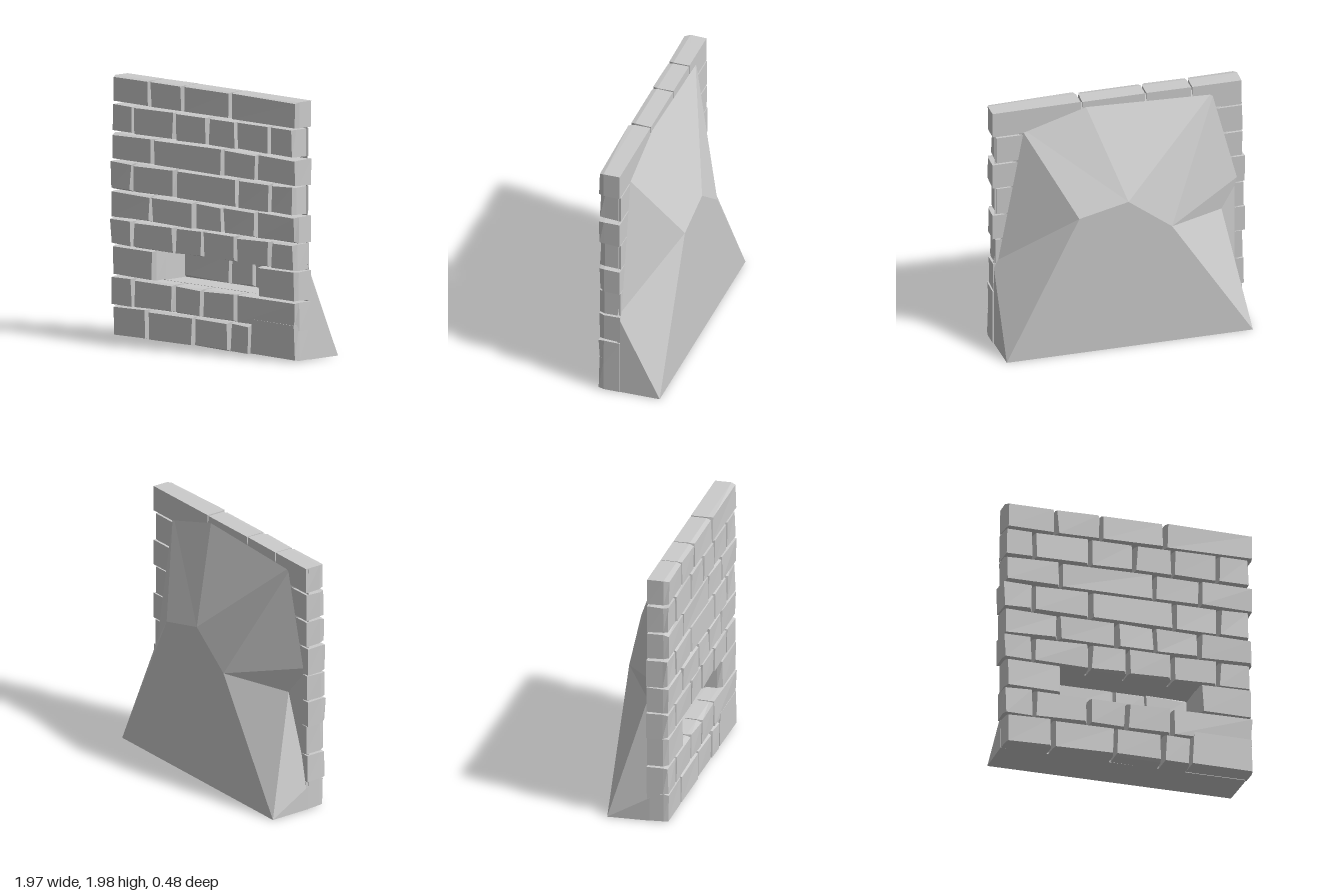
import * as THREE from 'three';

const stone = new THREE.MeshStandardMaterial({ color: 0xcccccc, flatShading: true, side: THREE.DoubleSide });

// repeatable noise in -1..1
function noise(n) {
  const s = Math.sin(n * 127.1 + 11.7) * 43758.5453;
  return (s - Math.floor(s)) * 2 - 1;
}

// faceted mesh from corner points and polygons (each polygon is fanned)
function facets(name, points, polygons) {
  const pos = [];
  for (const poly of polygons) {
    for (let i = 1; i < poly.length - 1; i++) {
      for (const k of [poly[0], poly[i], poly[i + 1]]) pos.push(...points[k]);
    }
  }
  const geo = new THREE.BufferGeometry();
  geo.setAttribute('position', new THREE.Float32BufferAttribute(pos, 3));
  geo.computeVertexNormals();
  const mesh = new THREE.Mesh(geo, stone);
  mesh.name = name;
  return mesh;
}

// rough-hewn brick: a box whose front corners are drawn in and nudged
function brick(name, id, x0, x1, y0, y1, zBack, zFront) {
  const w = x1 - x0, h = y1 - y0;
  const geo = new THREE.BoxGeometry(w, h, zFront - zBack, 1, 1, 2).toNonIndexed();
  const p = geo.attributes.position;
  const depth = zFront - zBack;
  for (let i = 0; i < p.count; i++) {
    const sx = Math.sign(p.getX(i)), sy = Math.sign(p.getY(i));
    const t = p.getZ(i) / depth + 0.5;           // 0 back, 0.5 shoulder, 1 front
    const layer = t < 0.25 ? 0 : t < 0.75 ? 1 : 2;
    const seed = id * 31 + (sx + 1) * 2 + (sy + 1) * 4 + layer * 17;
    const inset = [0, 0.002, 0.014][layer];
    const wobble = [0.002, 0.005, 0.009][layer];
    const z = layer === 1 ? zBack + depth * 0.75 : layer === 2 ? zFront - 0.004 + noise(seed + 3) * 0.005 : zBack;
    p.setXYZ(i,
      (x0 + x1) / 2 + sx * (w / 2 - inset) + noise(seed + 1) * wobble,
      (y0 + y1) / 2 + sy * (h / 2 - inset * 0.6) + noise(seed + 2) * wobble * 0.8,
      z);
  }
  geo.computeVertexNormals();
  const mesh = new THREE.Mesh(geo, stone);
  mesh.name = name;
  return mesh;
}

export function createModel() {
  const model = new THREE.Group();
  const GAP = 0.006, FACE = 0.09, FRONT = 0.24;
  const niche = { x0: -0.52, x1: 0.57, y0: 0.465, y1: 0.695, z: -0.08 };

  // courses: bottom, top, joint positions
  const courses = [
    [0.015, 0.24, [-0.965, -0.59, -0.1, 0.28, 0.5]],
    [0.245, 0.46, [-0.98, -0.74, -0.31, -0.01, 0.35]],
    [0.47, 0.695, [-0.97, -0.52, -0.02, 0.23, 0.57, 0.985]],
    [0.7, 0.9, [-0.99, -0.75, -0.3, 0, 0.35, 0.71, 0.97]],
    [0.91, 1.11, [-0.98, -0.55, -0.09, 0.21, 0.56, 0.99]],
    [1.12, 1.335, [-0.99, -0.745, -0.3, 0.36, 0.71, 0.96]],
    [1.345, 1.545, [-0.97, -0.53, 0.21, 0.57, 0.99]],
    [1.56, 1.77, [-0.97, -0.74, -0.3, 0.05, 0.35, 0.7, 0.96]],
    [1.785, 1.985, [-0.965, -0.57, -0.21, 0.29, 0.99]],
  ];
  const wall = new THREE.Group();
  wall.name = 'brickCourses';
  courses.forEach(([y0, y1, joints], row) => {
    for (let i = 0; i < joints.length - 1; i++) {
      const x0 = joints[i], x1 = joints[i + 1];
      const recessed = row === 2 && x0 >= niche.x0 && x1 <= niche.x1;
      wall.add(brick(recessed ? 'nicheBrick' : 'brick', row * 10 + i + 1,
        x0 + GAP, x1 - GAP, y0, y1,
        recessed ? niche.z - 0.1 : FACE - 0.02, recessed ? niche.z : FRONT));
    }
  });
  // large corner stone spanning the two lowest courses
  wall.add(brick('cornerStone', 97, 0.5, 0.985, 0.02, 0.3, FACE - 0.02, FRONT));
  wall.add(brick('cornerStone', 98, 0.356, 0.985, 0.245, 0.46, FACE - 0.02, FRONT));
  model.add(wall);

  // mortar sheet behind the bricks, open at the niche
  const sheet = new THREE.Shape([[-0.96, 0.015], [0.965, 0.015], [0.965, 1.975], [-0.96, 1.975]]
    .map(([x, y]) => new THREE.Vector2(x, y)));
  sheet.holes.push(new THREE.Path([[niche.x0, niche.y0], [niche.x0, niche.y1], [niche.x1, niche.y1], [niche.x1, niche.y0]]
    .map(([x, y]) => new THREE.Vector2(x, y))));
  const mortar = new THREE.Mesh(new THREE.ShapeGeometry(sheet), stone);
  mortar.position.z = FACE;
  mortar.name = 'mortar';
  model.add(mortar);

  // niche sides, floor, ceiling and back
  const corners = [];
  for (const z of [FACE + 0.02, niche.z - 0.03]) {
    corners.push([niche.x0, niche.y0, z], [niche.x1, niche.y0, z], [niche.x1, niche.y1, z], [niche.x0, niche.y1, z]);
  }
  model.add(facets('nicheLining', corners,
    [[0, 1, 5, 4], [1, 2, 6, 5], [2, 3, 7, 6], [3, 0, 4, 7], [4, 5, 6, 7]]));

  // sloping rock mass behind the wall
  const B = -0.24;
  const rock = [
    [0.96, 0.01, B], [0.394, 1.16, B], [0.01, 1.25, B], [-0.33, 0.99, B], [-0.96, 0.01, B],  // 0-4 rear face
    [0.975, 0.7, FACE], [0.765, 1.83, FACE], [0.27, 1.98, FACE], [-0.76, 1.94, FACE],        // 5-8 rim
    [-0.96, 1.17, FACE], [-0.79, 0.93, 0.03], [-0.96, 0.2, FACE],                            // 9-11 hollow side
    [0.975, 0.015, FACE], [-0.96, 0.015, FACE],                                             // 12-13 foot
  ];
  model.add(facets('rockBacking', rock, [
    [0, 4, 3, 2, 1],
    [0, 1, 5], [0, 5, 12], [1, 6, 5],
    [1, 2, 6], [2, 7, 6], [2, 8, 7], [2, 3, 8],
    [3, 9, 8], [3, 10, 9], [3, 4, 10], [4, 11, 10], [10, 11, 9], [4, 13, 11],
    [0, 12, 13, 4],
  ]));
  return model;
}
